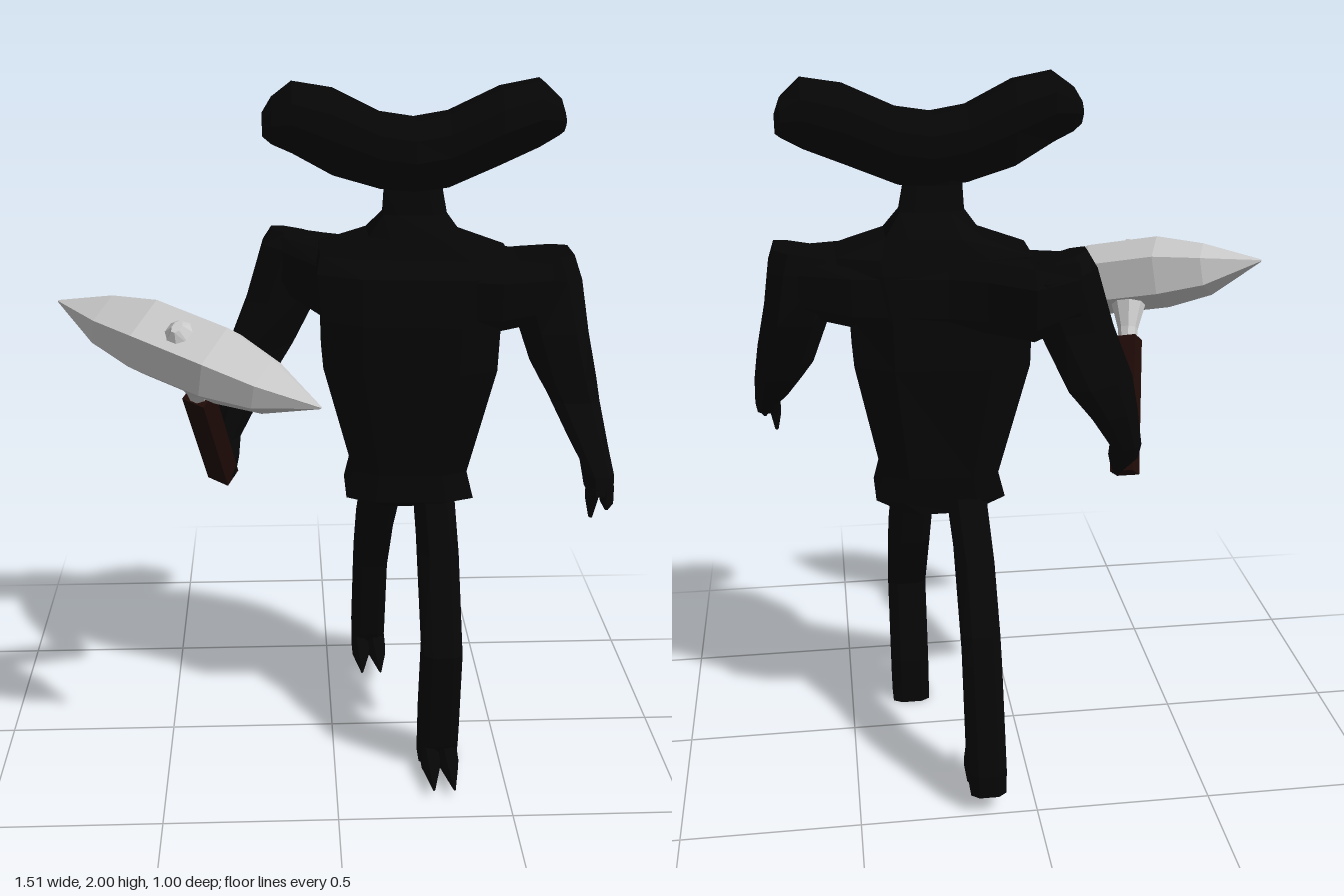
import * as THREE from 'three';

const black = new THREE.MeshStandardMaterial({ color: 0x060606, flatShading: true });
const brown = new THREE.MeshStandardMaterial({ color: 0x200b07, flatShading: true });
const grey = new THREE.MeshStandardMaterial({ color: 0xcccccc, flatShading: true });

// Unit cross-sections
const OCTAGON = Array.from({ length: 8 }, (_, i) => {
  const a = (i + 0.5) * Math.PI / 4, r = 1 / Math.cos(Math.PI / 8);
  return [r * Math.cos(a), r * Math.sin(a)];
});
const BOXY = [[1, 0.7], [0.55, 1], [-0.55, 1], [-1, 0.7], [-1, -0.7], [-0.55, -1], [0.55, -1], [1, -0.7]];
const HEAD = [[1, 0.45], [0.5, 0.85], [-0.1, 0.95], [-1, 0.35], [-1, -0.35], [-0.1, -0.95], [0.5, -0.9], [1, -0.45]];
const BLADE = [[1, 0.6], [0.1, 1], [-1, 0.55], [-1, -0.55], [0.1, -1], [1, -0.6]];

// Skins rings [x, y, z, halfA, halfB, shear, tilt] lying across the given axis, with closed ends
function loft(name, material, axis, rings, profile = OCTAGON) {
  const loops = rings.map(([x, y, z, a, b, shear = 0, tilt = 0]) => profile.map(([p, q]) => {
    if (axis === 'x') return new THREE.Vector3(x, y + a * p, z + b * q);
    if (axis === 'y') return new THREE.Vector3(x + a * p, y + tilt * a * p, z + b * q + shear * a * p);
    return new THREE.Vector3(x + a * p, y + b * q, z);
  }));
  const n = profile.length, tris = [];
  for (let i = 0; i < loops.length - 1; i++) {
    for (let j = 0; j < n; j++) {
      const k = (j + 1) % n, A = loops[i], B = loops[i + 1];
      tris.push([A[j], A[k], B[k]], [A[j], B[k], B[j]]);
    }
  }
  const last = loops[loops.length - 1];
  for (let j = 1; j < n - 1; j++) {
    tris.push([loops[0][0], loops[0][j + 1], loops[0][j]], [last[0], last[j], last[j + 1]]);
  }
  // Turn the faces outward when the volume comes out negative
  const cross = new THREE.Vector3();
  const volume = tris.reduce((v, [a, b, c]) => v + a.dot(cross.crossVectors(b, c)), 0);
  const points = tris.flatMap(([a, b, c]) => (volume < 0 ? [a, c, b] : [a, b, c]));
  const geometry = new THREE.BufferGeometry().setFromPoints(points);
  geometry.computeVertexNormals();
  const mesh = new THREE.Mesh(geometry, material);
  mesh.name = name;
  return mesh;
}

// Two pointed toes in front of the ankle
function toes(name, x, y, zBack, zTip) {
  const group = new THREE.Group();
  group.name = name;
  for (const side of [-1, 1]) {
    group.add(loft('toe', black, 'z', [
      [x + side * 0.027, y + 0.045, zBack, 0.028, 0.042],
      [x + side * 0.027, y + 0.035, zBack + (zTip - zBack) * 0.4, 0.028, 0.028],
      [x + side * 0.03, y + 0.03, zTip, 0.003, 0.003],
    ]));
  }
  return group;
}

// Pointed stone hammer with a square wooden shaft, built upright and then tilted into the hand
function hammer() {
  const group = new THREE.Group();
  group.name = 'hammer';
  group.add(loft('hammerHead', grey, 'x', [
    [-0.414, 0, 0, 0.003, 0.003], [-0.25, -0.008, 0, 0.066, 0.078], [-0.11, 0, 0, 0.092, 0.108],
    [0.11, 0, 0, 0.092, 0.108], [0.25, -0.008, 0, 0.066, 0.078], [0.414, 0, 0, 0.003, 0.003],
  ], BLADE));
  group.add(loft('collar', grey, 'y', [
    [0, -0.21, 0, 0.025, 0.025], [0, -0.17, 0, 0.028, 0.028], [0, -0.08, 0, 0.05, 0.05],
  ]));
  group.add(loft('topKnob', grey, 'y', [
    [0, 0.08, 0, 0.045, 0.045], [0, 0.115, 0, 0.012, 0.02],
  ]));
  const shaft = new THREE.Mesh(new THREE.BoxGeometry(0.07, 0.42, 0.06), brown);
  shaft.name = 'shaft';
  shaft.position.y = -0.41;
  group.add(shaft);

  const along = new THREE.Vector3(0.353, -0.088, 0.197).normalize();
  const up = new THREE.Vector3(-0.065, 0.49, 0.36);
  const across = new THREE.Vector3().crossVectors(along, up).normalize();
  up.crossVectors(across, along);
  group.quaternion.setFromRotationMatrix(new THREE.Matrix4().makeBasis(along, up, across));
  group.position.set(-0.4, 1.34, 0.3);
  return group;
}

export function createModel() {
  const model = new THREE.Group();
  model.name = 'figure';

  // Wide, upswept head
  model.add(loft('head', black, 'x', [
    [-0.19, 1.89, 0.015, 0.03, 0.04], [-0.165, 1.9, 0.015, 0.06, 0.06], [-0.11, 1.908, 0.01, 0.092, 0.08],
    [0, 1.867, 0, 0.113, 0.09], [0.13, 1.815, -0.005, 0.1, 0.09], [0.225, 1.802, -0.01, 0.097, 0.1],
    [0.32, 1.815, -0.015, 0.1, 0.09], [0.46, 1.877, -0.022, 0.103, 0.088], [0.57, 1.91, -0.035, 0.09, 0.075],
    [0.625, 1.9, -0.04, 0.05, 0.06], [0.64, 1.885, -0.04, 0.025, 0.04],
  ], HEAD));

  // Torso from hips to neck
  model.add(loft('torso', black, 'y', [
    [0.225, 0.775, -0.04, 0.11, 0.09], [0.225, 0.81, -0.015, 0.185, 0.12, 0.05],
    [0.225, 0.89, -0.025, 0.165, 0.12, 0.05], [0.215, 1.22, -0.005, 0.243, 0.165, 0.08],
    [0.215, 1.36, -0.005, 0.247, 0.172, 0.08], [0.225, 1.49, -0.01, 0.27, 0.165, 0.08],
    [0.23, 1.53, -0.03, 0.265, 0.13, 0.1], [0.23, 1.58, -0.03, 0.13, 0.1, 0.1],
    [0.23, 1.64, -0.018, 0.088, 0.045], [0.225, 1.71, -0.018, 0.08, 0.03], [0.225, 1.8, -0.015, 0.08, 0.05],
  ], BOXY));
  // Shoulder span, swept back on the right
  model.add(loft('shoulders', black, 'x', [
    [-0.14, 1.46, -0.215, 0.08, 0.095], [-0.02, 1.425, -0.16, 0.1, 0.155], [0.1, 1.43, -0.07, 0.1, 0.165],
    [0.2, 1.43, -0.03, 0.1, 0.16], [0.46, 1.43, 0.015, 0.095, 0.16], [0.6, 1.44, 0.03, 0.08, 0.12],
  ], BOXY));

  // Right arm drawn back, its hand on the shaft
  model.add(loft('rightArm', black, 'y', [
    [-0.105, 1.545, -0.205, 0.065, 0.045, -0.2, -0.23], [-0.09, 1.5, -0.215, 0.105, 0.09, -0.15, -0.15],
    [-0.14, 1.35, -0.215, 0.105, 0.085, -0.3], [-0.21, 1.19, -0.215, 0.1, 0.07, -0.6],
    [-0.262, 1.08, -0.165, 0.072, 0.065, -0.5], [-0.315, 0.95, -0.1, 0.045, 0.055, -0.3],
    [-0.315, 0.9, -0.07, 0.04, 0.05], [-0.3, 0.84, -0.05, 0.012, 0.015],
  ]));

  // Left arm reaching forward, with two hooked fingers
  model.add(loft('leftArm', black, 'y', [
    [0.575, 1.53, 0.01, 0.09, 0.08, 0.25, 0.12], [0.585, 1.48, 0.02, 0.098, 0.11, 0.25],
    [0.615, 1.34, 0.05, 0.088, 0.135, 0.1], [0.65, 1.21, 0.085, 0.08, 0.12],
    [0.672, 1.15, 0.115, 0.067, 0.1], [0.7, 1.05, 0.235, 0.047, 0.09],
    [0.715, 1.0, 0.31, 0.036, 0.08], [0.715, 0.95, 0.35, 0.033, 0.055],
  ], BOXY));
  for (const [x, y, z] of [[0.695, 0.875, 0.36], [0.73, 0.91, 0.39]]) {
    model.add(loft('finger', black, 'y', [
      [x + 0.003, 0.97, 0.36, 0.018, 0.04], [x, 0.93, z, 0.016, 0.025], [x, y, z, 0.005, 0.01],
    ]));
  }

  // Legs in mid stride, left one forward
  model.add(loft('leftLeg', black, 'y', [
    [0.3, 0.82, -0.01, 0.057, 0.09], [0.312, 0.65, 0.045, 0.057, 0.1], [0.312, 0.4, 0.237, 0.057, 0.06],
    [0.312, 0.15, 0.2, 0.057, 0.075], [0.312, 0.08, 0.195, 0.057, 0.066], [0.312, 0, 0.18, 0.057, 0.052],
  ], BOXY));
  model.add(toes('leftToes', 0.312, 0, 0.2, 0.41));
  model.add(loft('rightLeg', black, 'y', [
    [0.15, 0.82, -0.04, 0.055, 0.1], [0.137, 0.65, -0.148, 0.053, 0.093], [0.137, 0.49, -0.28, 0.053, 0.08],
    [0.137, 0.415, -0.333, 0.053, 0.06], [0.137, 0.12, -0.425, 0.053, 0.07], [0.137, 0.055, -0.44, 0.05, 0.06],
  ], BOXY));
  model.add(toes('rightToes', 0.137, 0.035, -0.42, -0.205));

  model.add(hammer());
  return model;
}
